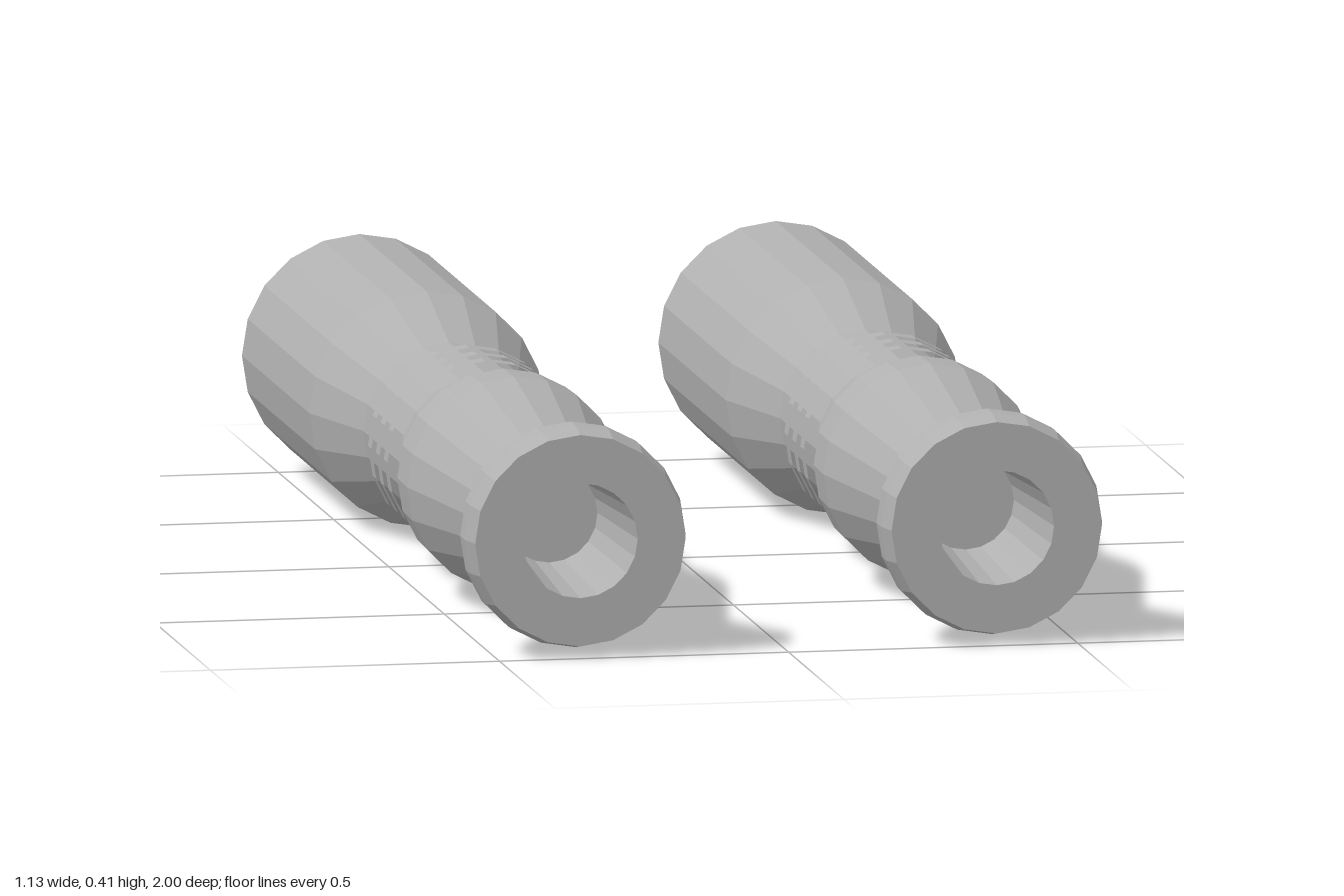
import * as THREE from 'three';

const SIDES = 20;
const AXIS_X = 0.36;
const AXIS_Y = 0.205;

// Revolve [z, radius] pairs around the z axis
function revolve(name, profile, material) {
  const points = profile.map(([z, r]) => new THREE.Vector2(r, z));
  const geometry = new THREE.LatheGeometry(points, SIDES);
  geometry.rotateX(Math.PI / 2);
  const mesh = new THREE.Mesh(geometry, material);
  mesh.name = name;
  return mesh;
}

function createBarrel(name, metal) {
  const barrel = new THREE.Group();
  barrel.name = name;

  // Open rear sleeve, waist and swelling front section
  barrel.add(revolve('body', [
    [-1, 0.203], [-0.39, 0.203], [-0.19, 0.148], [0.14, 0.148],
    [0.3, 0.183], [0.4, 0.185], [0.75, 0.13],
  ], metal));

  // Bulbous muzzle with a flat face
  barrel.add(revolve('muzzle', [
    [0.75, 0.13], [0.87, 0.177], [0.91, 0.191], [0.95, 0.191],
    [1, 0.182], [1, 0.099],
  ], metal));

  // Tapered bore with a closed floor
  barrel.add(revolve('bore', [[1, 0.099], [0.72, 0.083], [0.72, 0]], metal));

  // Thin open bands standing off the waist
  for (const z of [-0.022, 0.05, 0.122]) {
    barrel.add(revolve('waistBand', [[z - 0.017, 0.169], [z + 0.017, 0.169]], metal));
  }
  return barrel;
}

export function createModel() {
  const metal = new THREE.MeshStandardMaterial({ color: 0xb0b0b0 });
  metal.name = 'grey metal';
  metal.flatShading = true;
  metal.side = THREE.DoubleSide;

  const model = new THREE.Group();
  model.name = 'twinBarrels';
  for (const side of [-1, 1]) {
    const barrel = createBarrel(side > 0 ? 'leftBarrel' : 'rightBarrel', metal);
    barrel.position.set(side * AXIS_X, AXIS_Y, 0);
    model.add(barrel);
  }
  return model;
}
